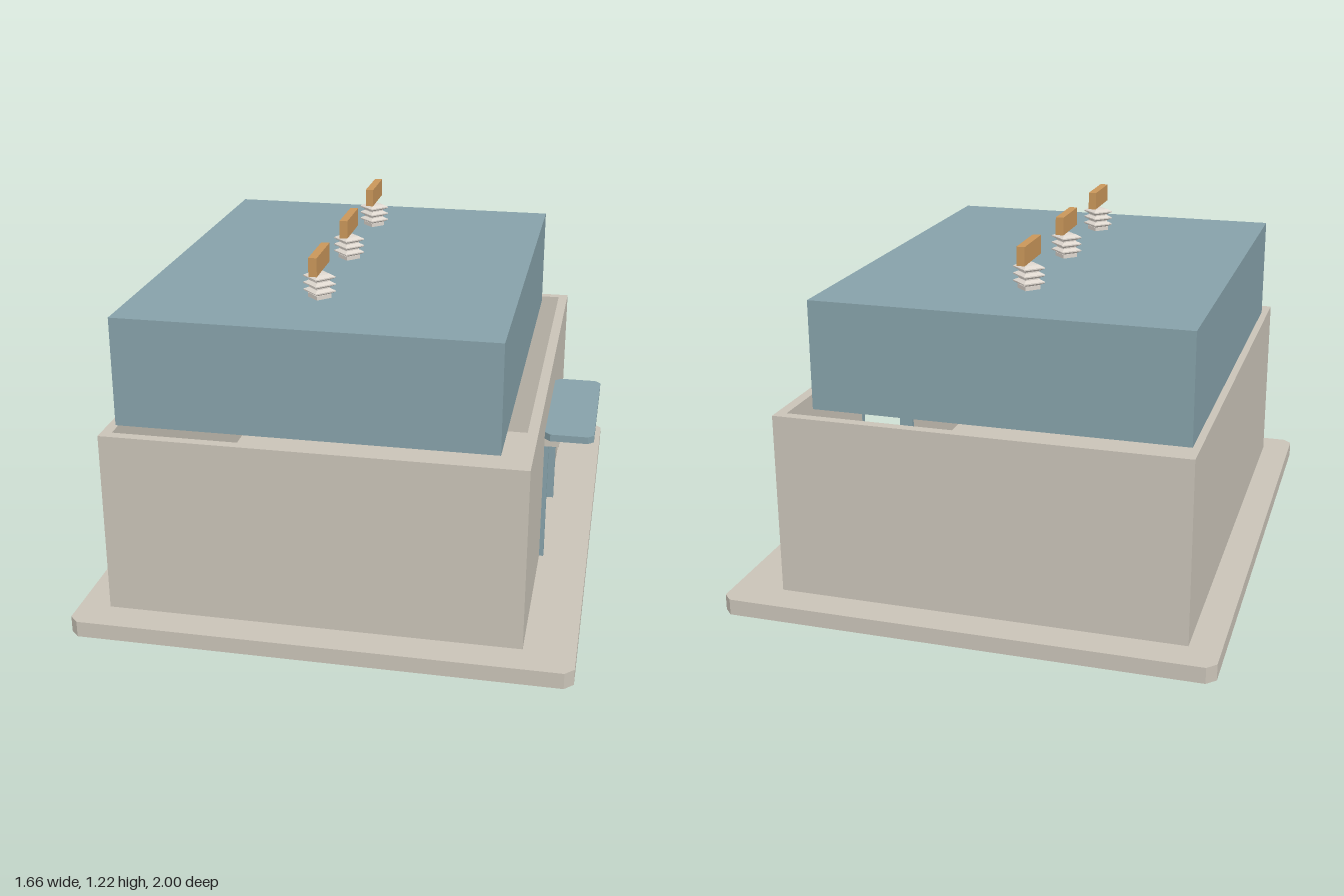
import * as THREE from 'three';

const concrete = new THREE.MeshStandardMaterial({ name: 'concrete', color: 0xc9c3b7 });
const steel = new THREE.MeshStandardMaterial({ name: 'blueSteel', color: 0x86a1a9 });
const copper = new THREE.MeshStandardMaterial({ name: 'copper', color: 0xc9965a });
const ceramic = new THREE.MeshStandardMaterial({ name: 'ceramic', color: 0xddd6ce, flatShading: true });

export function createModel() {
  const model = new THREE.Group();
  model.name = 'substation';

  const add = (name, geometry, material, parent = model) => {
    const mesh = new THREE.Mesh(geometry, material);
    mesh.name = name;
    parent.add(mesh);
    return mesh;
  };
  // Box given by its extents along each axis
  const box = (name, material, [x0, x1], [y0, y1], [z0, z1], parent) => {
    const g = new THREE.BoxGeometry(x1 - x0, y1 - y0, z1 - z0);
    g.translate((x0 + x1) / 2, (y0 + y1) / 2, (z0 + z1) / 2);
    return add(name, g, material, parent);
  };
  // Horizontal slab with cut corners
  const slab = (name, material, [x0, x1], [y0, y1], hz, cut) => {
    const s = new THREE.Shape([
      [x0 + cut, -hz], [x1 - cut, -hz], [x1, -hz + cut], [x1, hz - cut],
      [x1 - cut, hz], [x0 + cut, hz], [x0, hz - cut], [x0, -hz + cut],
    ].map(([x, y]) => new THREE.Vector2(x, y)));
    const g = new THREE.ExtrudeGeometry(s, { depth: y1 - y0, bevelEnabled: false });
    g.rotateX(-Math.PI / 2).translate(0, y0, 0);
    return add(name, g, material);
  };

  // Foundation
  slab('foundation', concrete, [-0.83, 0.83], [0, 0.055], 1, 0.03);

  // Hollow enclosure: three plain walls
  const [bottom, top] = [0.055, 0.68];
  box('frontWall', concrete, [-0.725, 0.66], [bottom, top], [0.85, 0.885]);
  box('backWall', concrete, [-0.725, 0.66], [bottom, top], [-0.885, -0.85]);
  box('sideWall', concrete, [-0.725, -0.69], [bottom, top], [-0.85, 0.85]);

  // Wall with the doorway cut out of it
  const doorHalf = 0.25, doorTop = 0.485;
  const wall = new THREE.Shape([
    [-0.85, bottom], [-doorHalf, bottom], [-doorHalf, doorTop], [doorHalf, doorTop],
    [doorHalf, bottom], [0.85, bottom], [0.85, top], [-0.85, top],
  ].map(([x, y]) => new THREE.Vector2(x, y)));
  const wallGeometry = new THREE.ExtrudeGeometry(wall, { depth: 0.035, bevelEnabled: false });
  wallGeometry.rotateY(Math.PI / 2).translate(0.625, 0, 0);
  add('doorWall', wallGeometry, concrete);

  // Door jambs, lintel and canopy
  for (const side of [-1, 1]) {
    const z = side * 0.243;
    box('doorJamb', steel, [0.622, 0.675], [bottom, doorTop], [z - 0.009, z + 0.009]);
  }
  box('canopyLintel', concrete, [0.66, 0.71], [doorTop, 0.515], [-0.25, 0.25]);
  slab('canopy', steel, [0.66, 0.83], [0.515, 0.54], 0.272, 0.02);

  // Roof housing
  box('roofHousing', steel, [-0.7, 0.56], [top, 1.05], [-0.79, 0.79]);

  // Ribbed four-sided insulators, each under a copper bar
  const profile = [[0, 1.055], [0.04, 1.055], [0.04, 1.069]];
  for (const y of [1.079, 1.103, 1.127]) {
    profile.push([0.036, y - 0.01], [0.055, y - 0.002], [0.055, y + 0.002], [0.036, y + 0.01]);
  }
  profile.push([0, 1.14]);
  const insulatorGeometry = new THREE.LatheGeometry(
    profile.map(([r, y]) => new THREE.Vector2(r, y)), 4);
  for (const z of [-0.47, 0, 0.47]) {
    const terminal = new THREE.Group();
    terminal.name = 'terminal';
    terminal.position.set(-0.086, 0, z);
    model.add(terminal);
    add('insulator', insulatorGeometry, ceramic, terminal);
    box('copperBar', copper, [-0.014, 0.014], [1.152, 1.215], [-0.094, 0.094], terminal);
  }
  return model;
}
